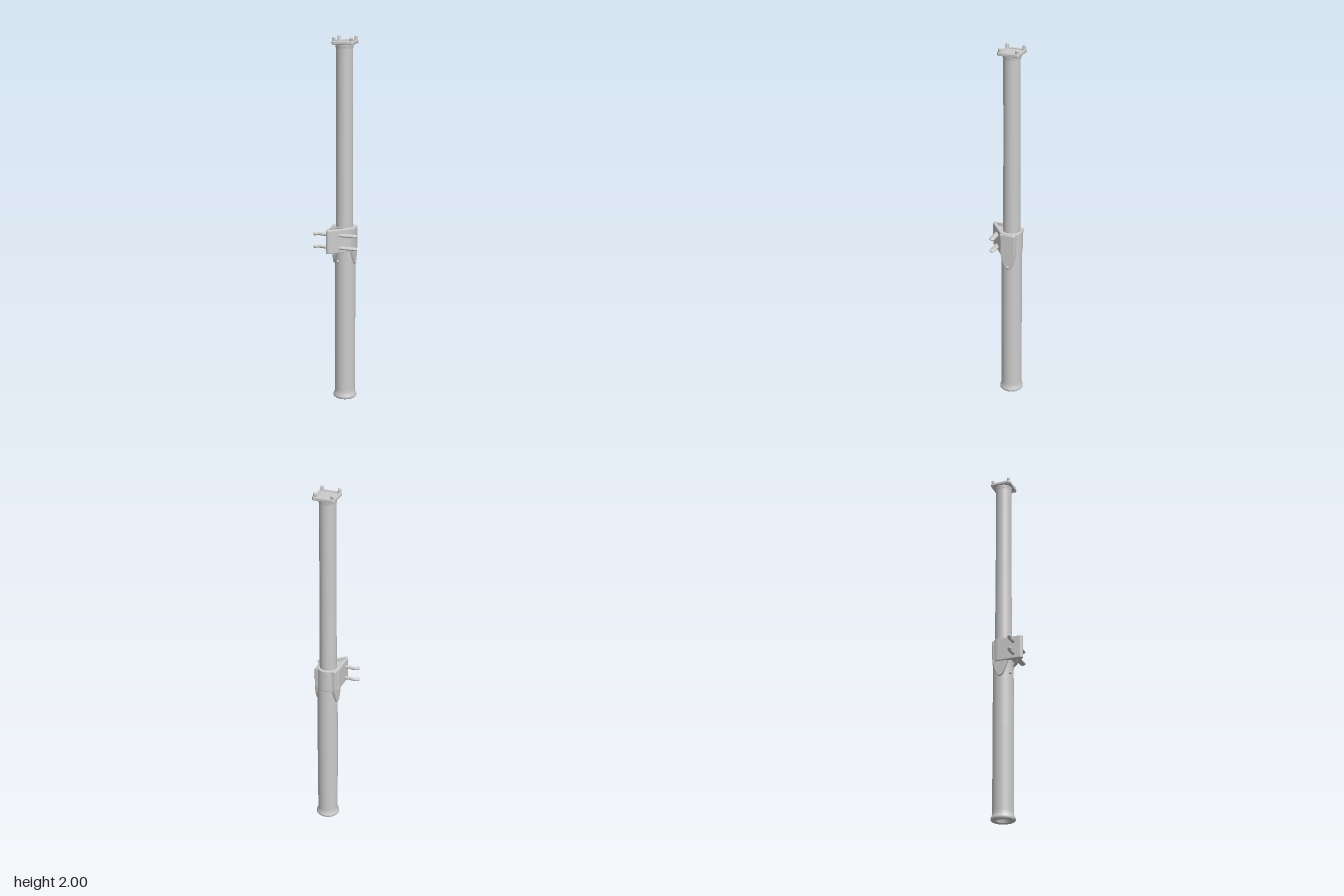
import * as THREE from 'three';

const CX = 0.028, CZ = -0.035; // pole axis

export function createModel() {
  const root = new THREE.Group();
  const mat = new THREE.MeshStandardMaterial({ color: 0xcccccc, roughness: 0.7, side: THREE.DoubleSide });
  const add = (name, geo, x = 0, y = 0, z = 0) => {
    const m = new THREE.Mesh(geo, mat);
    m.name = name;
    m.position.set(x, y, z);
    root.add(m);
    return m;
  };
  const lathe = (pts) => new THREE.LatheGeometry(pts.map((p) => new THREE.Vector2(...p)), 40);
  // plan outline (x, z) extruded downward from a given top height
  const slab = (name, shape, top, height, bevel = 0.003) => {
    const geo = new THREE.ExtrudeGeometry(shape, {
      depth: height - 2 * bevel, bevelEnabled: bevel > 0, bevelSize: bevel,
      bevelThickness: bevel, bevelOffset: -bevel, bevelSegments: 2, curveSegments: 20,
    });
    geo.rotateX(Math.PI / 2);
    return add(name, geo, 0, top - bevel, 0);
  };

  // Lower tube with a flared foot and a recessed socket underneath
  add('lowerTube', lathe([
    [0, 0.04], [0.032, 0.04], [0.034, 0.004], [0.04, 0], [0.059, 0], [0.064, 0.005],
    [0.064, 0.014], [0.06, 0.022], [0.056, 0.034], [0.056, 0.05], [0.0565, 0.5],
    [0.055, 0.85], [0.055, 0.97], [0.05, 0.982], [0.044, 0.984],
  ]), CX + 0.002, 0, CZ - 0.001);

  // Upper tube flaring slightly into the cap
  add('upperTube', lathe([
    [0.046, 0.95], [0.046, 1.02], [0.044, 1.5], [0.044, 1.935], [0.047, 1.942],
    [0.047, 1.952], [0.05, 1.966], [0, 1.966],
  ]), CX - 0.002, 0, CZ + 0.001);

  // Square cap: a dished plate with a raised rim
  const square = (h, r) => {
    const s = new THREE.Shape();
    for (let i = 0; i < 4; i++) {
      const a = i * Math.PI / 2 + Math.PI / 4;
      s[i ? 'lineTo' : 'moveTo'](CX + Math.cos(a - r) * h * 1.39, CZ + Math.sin(a - r) * h * 1.39);
      s.lineTo(CX + Math.cos(a + r) * h * 1.39, CZ + Math.sin(a + r) * h * 1.39);
    }
    s.closePath();
    return s;
  };
  slab('capPlate', square(0.054, 0.07), 1.971, 0.012);
  const rim = square(0.056, 0.07);
  rim.holes.push(square(0.044, 0.07));
  slab('capRim', rim, 1.977, 0.017, 0.003);

  // Corner pegs, leaning outward
  for (const sx of [-1, 1]) for (const sz of [-1, 1]) {
    const path = new THREE.LineCurve3(
      new THREE.Vector3(CX + sx * 0.043, 1.958, CZ + sz * 0.043),
      new THREE.Vector3(CX + sx * 0.047, 1.991, CZ + sz * 0.047));
    add('capPeg', new THREE.TubeGeometry(path, 1, 0.0085, 12));
    const tip = add('capPegTip', new THREE.SphereGeometry(0.0088, 12, 8), path.v2.x, path.v2.y, path.v2.z);
    tip.scale.setScalar(1);
  }

  // Clamp bracket: triangular wedge wrapped round the tube
  const wedge = new THREE.Shape();
  wedge.moveTo(-0.041, 0.082);
  wedge.quadraticCurveTo(-0.041, 0.097, -0.027, 0.097);
  wedge.quadraticCurveTo(-0.018, 0.096, -0.012, 0.088);
  wedge.lineTo(0.07, 0.018);
  wedge.quadraticCurveTo(0.087, 0.004, 0.087, -0.03);
  wedge.absarc(CX, CZ, 0.058, 0, -Math.PI * 0.72, true);
  wedge.quadraticCurveTo(-0.038, -0.068, -0.041, -0.04);
  wedge.closePath();
  const pocket = new THREE.Path();
  pocket.moveTo(-0.027, 0.08);
  pocket.lineTo(0.048, 0.018);
  pocket.lineTo(0.015, 0.016);
  pocket.lineTo(-0.012, 0.002);
  pocket.lineTo(-0.027, -0.02);
  pocket.closePath();
  slab('bracketCore', wedge, 0.968, 0.096);
  const walls = wedge.clone();
  walls.holes.push(pocket);
  slab('bracketWalls', walls, 0.985, 0.128);

  // Tapered tongues running down both sides of the lower tube
  for (const side of [-1, 1]) {
    const t = new THREE.Shape();
    t.moveTo(-0.044, 0.98);
    t.lineTo(0.044, 0.98);
    t.lineTo(0.042, 0.87);
    t.quadraticCurveTo(0.034, 0.81, 0.016, 0.782);
    t.quadraticCurveTo(0, 0.764, -0.016, 0.782);
    t.quadraticCurveTo(-0.034, 0.81, -0.042, 0.87);
    t.closePath();
    const geo = new THREE.ExtrudeGeometry(t, {
      depth: 0.03, bevelSize: 0.006, bevelThickness: 0.006, bevelOffset: -0.006, bevelSegments: 3,
    });
    geo.rotateY(side * Math.PI / 2);
    add('sideTongue', geo, CX + side * 0.025, 0, CZ);
  }
  const rivet = new THREE.SphereGeometry(0.008, 12, 8);
  add('rivet', rivet, 0.003, 0.795, 0.014);
  add('rivet', rivet, CX + 0.059, 0.788, CZ);

  // Two cross pins: slim hooked end on the right, broad flat end on the left
  for (const y of [0.952, 0.882]) {
    const pin = new THREE.CatmullRomCurve3([
      [0.03, y, 0.047], [-0.06, y, 0.048], [-0.1, y + 0.001, 0.046], [-0.113, y + 0.001, 0.055],
    ].map((p) => new THREE.Vector3(...p)));
    add('pinShank', new THREE.TubeGeometry(pin, 24, 0.0085, 12));
    add('pinHook', new THREE.SphereGeometry(0.0095, 14, 10), -0.111, y + 0.001, 0.056);
    const paddle = new THREE.CapsuleGeometry(0.016, 0.1, 8, 18);
    paddle.rotateZ(Math.PI / 2);
    paddle.scale(1, 0.55, 1);
    add('pinPaddle', paddle, 0.054, y, 0.046);
  }
  return root;
}
